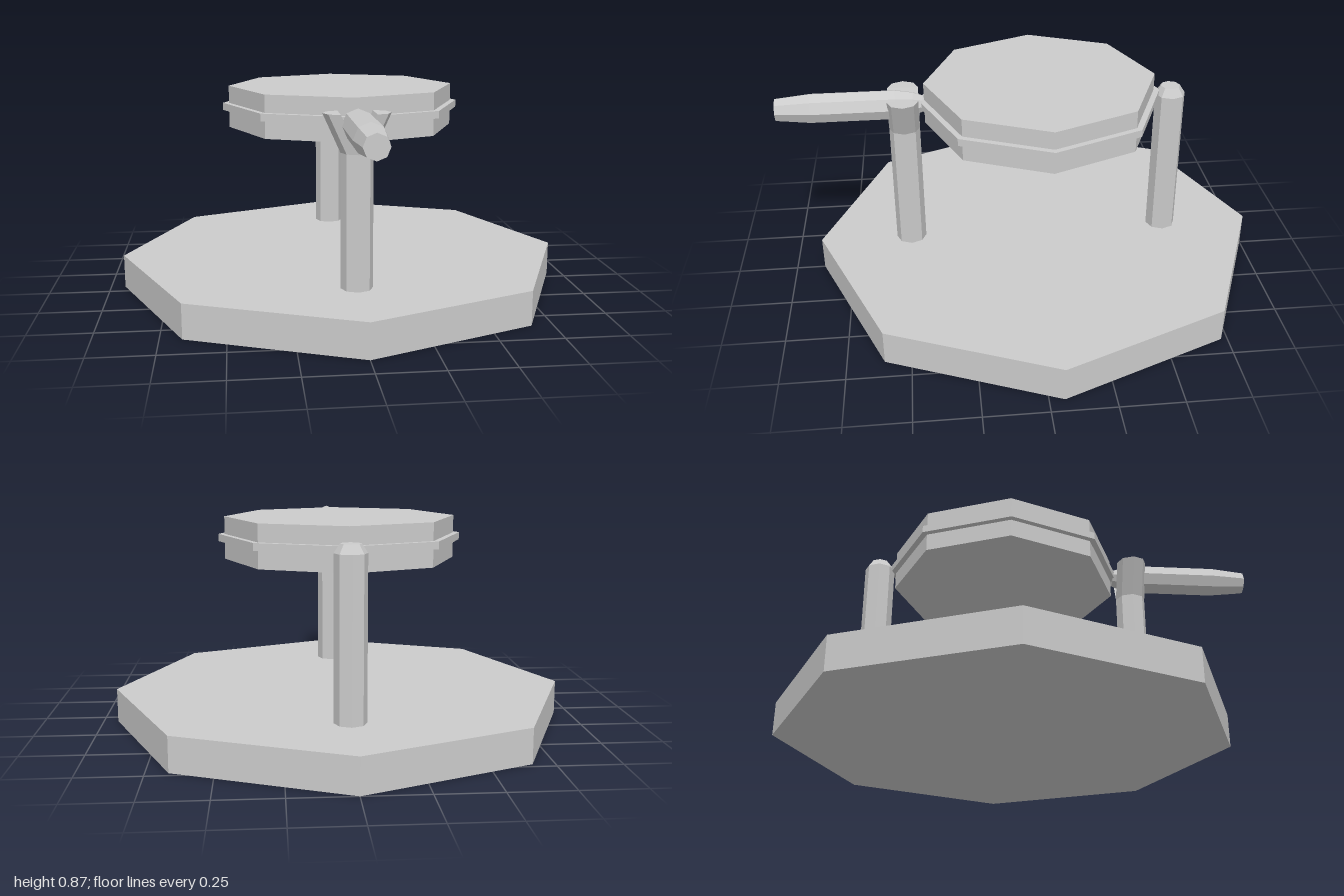
import * as THREE from 'three';

const SIDES = 8;

export function createModel() {
  const group = new THREE.Group();
  const material = new THREE.MeshStandardMaterial({ color: 0xcccccc, flatShading: true });

  function add(name, geometry, x, y, z) {
    const mesh = new THREE.Mesh(geometry, material);
    mesh.name = name;
    mesh.position.set(x, y, z);
    group.add(mesh);
    return mesh;
  }

  // Eight-sided turned solid from [radius, height] pairs, bottom to top
  const turned = (profile) =>
    new THREE.LatheGeometry(profile.map(([r, h]) => new THREE.Vector2(r, h)), SIDES);

  const prism = (r, y0, y1) => turned([[0, y0], [r, y0], [r, y1], [0, y1]]);

  // Octagonal base slab
  add('base', prism(0.94, 0, 0.14), 0, 0, -0.06);

  // Two plates with a slightly wider seam ring between them
  add('lowerPlate', prism(0.475, 0.69, 0.763), 0, 0, -0.07);
  add('seamRing', prism(0.5, 0.763, 0.793), 0, 0, -0.07);
  add('upperPlate', prism(0.475, 0.793, 0.865), 0, 0, -0.07);

  // Rear post with chamfered top
  add('rearPost', turned([[0, 0.14], [0.063, 0.14], [0.063, 0.775], [0.04, 0.81], [0, 0.81]]), 0, 0, -0.615);

  // Front post, splitting into two half-octagon prongs
  add('frontPost', prism(0.063, 0.14, 0.67), 0, 0, 0.49);

  function prong(side) {
    const half = new THREE.Shape();
    for (let i = 0; i <= SIDES / 2; i++) {
      const a = -Math.PI / 2 + (i * Math.PI * 2) / SIDES;
      const px = side * 0.063 * Math.cos(a), py = 0.063 * Math.sin(a);
      if (i) half.lineTo(px, py); else half.moveTo(px, py);
    }
    const geometry = new THREE.ExtrudeGeometry(half, { depth: 0.15, bevelEnabled: false });
    geometry.rotateX(-Math.PI / 2);
    // Lean the prong outwards as it rises
    const p = geometry.attributes.position;
    for (let i = 0; i < p.count; i++) p.setX(i, p.getX(i) + side * 0.45 * p.getY(i));
    geometry.computeVertexNormals();
    return geometry;
  }
  add('leftProng', prong(1), 0, 0.67, 0.49);
  add('rightProng', prong(-1), 0, 0.67, 0.49);

  // Handle resting in the fork, tapered at both ends
  const handle = turned([[0, 0.41], [0.035, 0.41], [0.05, 0.45], [0.062, 0.52], [0.062, 0.86], [0.047, 1], [0, 1]]);
  handle.rotateX(Math.PI / 2);
  add('handle', handle, 0, 0.777, 0);

  return group;
}
